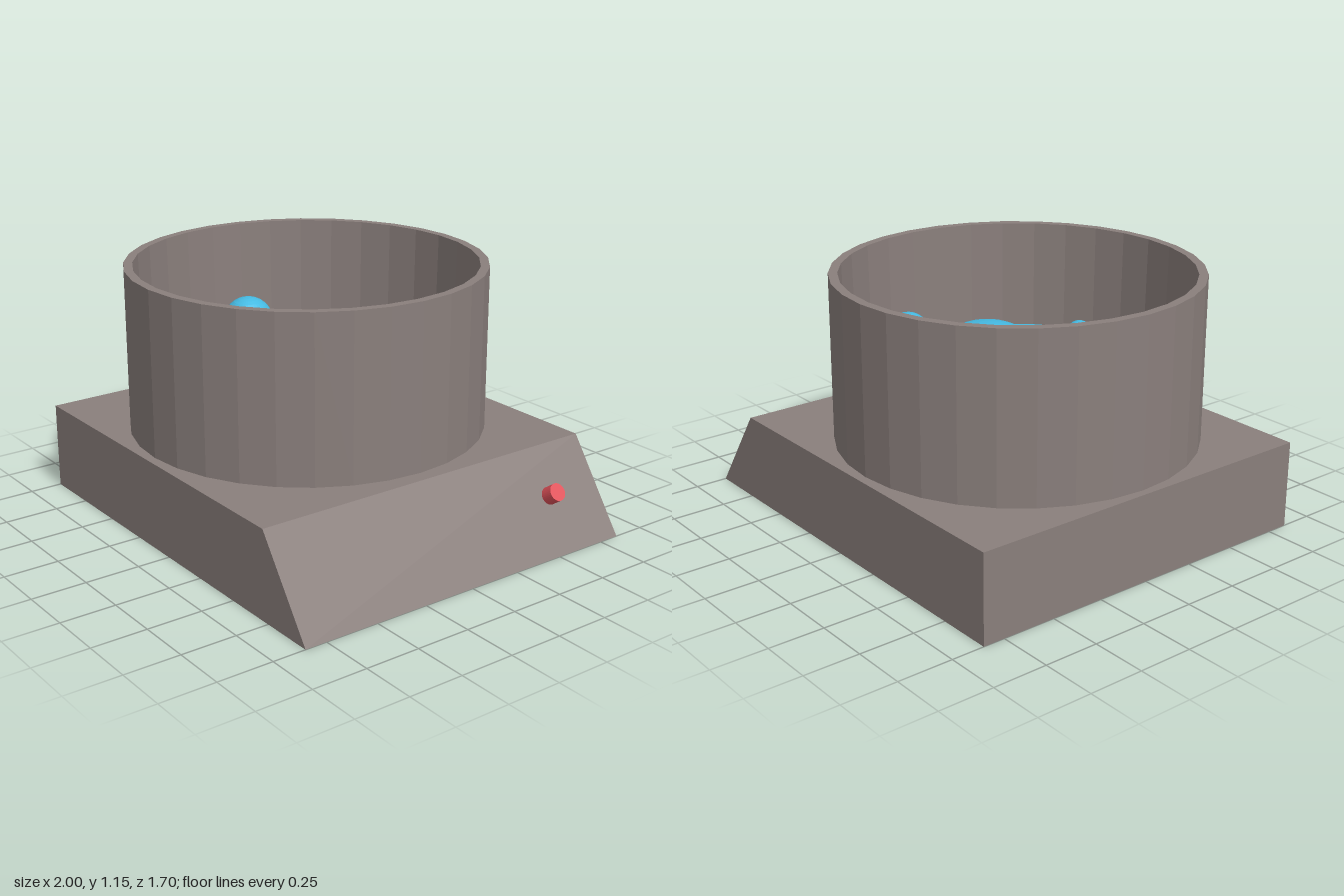
import * as THREE from 'three';

const material = (color) => new THREE.MeshStandardMaterial({ color, flatShading: true });

export function createModel() {
  const model = new THREE.Group();
  const stone = material(0x8a7f7c);
  const water = material(0x45bae2);
  const red = material(0xe2525a);

  const add = (name, geometry, mat, x = 0, y = 0, z = 0) => {
    const mesh = new THREE.Mesh(geometry, mat);
    mesh.name = name;
    mesh.position.set(x, y, z);
    model.add(mesh);
    return mesh;
  };

  // Block base with one sloping side
  const profile = new THREE.Shape([[-1, 0], [1, 0], [0.72, 0.4], [-1, 0.4]]
    .map(([x, y]) => new THREE.Vector2(x, y)));
  add('base', new THREE.ExtrudeGeometry(profile, { depth: 1.7, bevelEnabled: false }), stone, 0, 0, -0.85);

  // Open pot: outer wall, rim, slightly tapered inner wall and floor
  const potX = -0.155;
  const wall = [[0, 0.4], [0.81, 0.4], [0.81, 1.15], [0.77, 1.15], [0.76, 0.65], [0.76, 0.42], [0, 0.42]]
    .map(([r, y]) => new THREE.Vector2(r, y));
  add('pot', new THREE.LatheGeometry(wall, 32), stone, potX);

  // Liquid fill
  add('liquid', new THREE.CylinderGeometry(0.76, 0.76, 0.23, 32), water, potX, 0.535, 0);

  // Bubbles resting on the liquid: x, z, radius, height scale
  const bubbles = [
    [0.06, 0, 0.2, 0.5], [-0.63, 0, 0.12, 1], [-0.15, -0.58, 0.1, 1], [0.4, -0.19, 0.1, 1],
    [-0.4, 0.35, 0.1, 1], [-0.255, -0.27, 0.06, 1], [-0.08, 0.425, 0.06, 1],
  ];
  for (const [x, z, r, squash] of bubbles) {
    add('bubble', new THREE.SphereGeometry(r, 32, 16), water, x, 0.75, z).scale.y = squash;
  }

  // Button, square to the sloping side
  const button = add('button', new THREE.CylinderGeometry(0.04, 0.04, 0.12, 32), red, 0.85, 0.215, -0.57);
  button.rotation.z = -Math.atan2(0.4, 0.28);

  return model;
}
